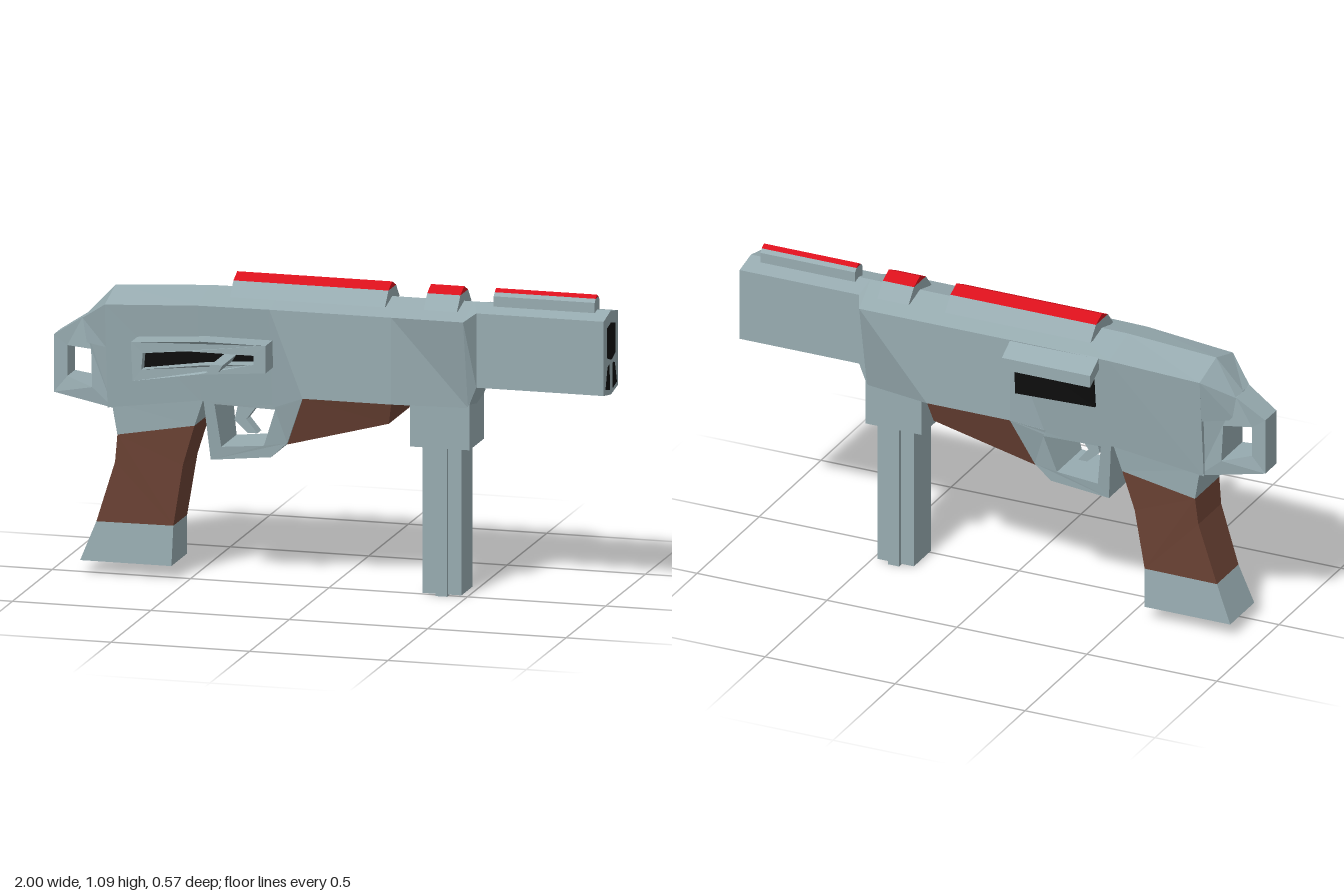
import * as THREE from 'three';

const mat = (color) => new THREE.MeshStandardMaterial({ color, flatShading: true });

export function createModel() {
  const steel = mat(0x97abb0), brown = mat(0x6b4234), red = mat(0xd9101c), black = mat(0x0d0d0d);
  const group = new THREE.Group();
  group.position.z = -0.065; // the body sits off centre because of the side handle

  const add = (name, geometry, material = steel) => {
    const mesh = new THREE.Mesh(geometry, material);
    mesh.name = name;
    group.add(mesh);
    return mesh;
  };

  const box = (name, x0, x1, y0, y1, z0, z1, material) =>
    add(name, new THREE.BoxGeometry(x1 - x0, y1 - y0, z1 - z0), material)
      .position.set((x0 + x1) / 2, (y0 + y1) / 2, (z0 + z1) / 2);

  // Side outline given as [x, y, far z, near z = -far], so thickness can vary per corner
  const prism = (name, points, material, hole) => {
    const path = (pts) => pts.map(([x, y]) => new THREE.Vector2(x, y));
    const shape = new THREE.Shape(path(points));
    if (hole) shape.holes.push(new THREE.Path(path(hole)));
    const key = (x, y) => x.toFixed(3) + ',' + y.toFixed(3);
    const depth = new Map([...points, ...(hole || [])]
      .map(([x, y, far, near = -far]) => [key(x, y), [near, far]]));
    const geometry = new THREE.ExtrudeGeometry(shape, { depth: 1, bevelEnabled: false });
    const p = geometry.attributes.position;
    for (let i = 0; i < p.count; i++) {
      p.setZ(i, depth.get(key(p.getX(i), p.getY(i)))[p.getZ(i) > 0.5 ? 1 : 0]);
    }
    geometry.computeVertexNormals();
    return add(name, geometry, material);
  };

  // Skin over convex rings of [y, z] at successive x, with closed ends
  const loft = (name, sections, material) => {
    const n = sections[0].ring.length, last = (sections.length - 1) * n;
    const pos = sections.flatMap(({ x, ring }) => ring.flatMap(([y, z]) => [x, y, z]));
    const index = [];
    for (let s = 0; s < last; s += n) {
      for (let j = 0; j < n; j++) {
        const k = (j + 1) % n;
        index.push(s + j, s + k, s + n + k, s + j, s + n + k, s + n + j);
      }
    }
    for (let j = 1; j < n - 1; j++) index.push(0, j + 1, j, last, last + j, last + j + 1);
    let geometry = new THREE.BufferGeometry();
    geometry.setAttribute('position', new THREE.Float32BufferAttribute(pos, 3));
    geometry.setIndex(index);
    geometry = geometry.toNonIndexed();
    geometry.computeVertexNormals();
    return add(name, geometry, material);
  };
  const bar = (name, x0, x1, ring, material) =>
    loft(name, [{ x: x0, ring }, { x: x1, ring }], material);

  // Body section: x, ridge y, shoulder y, shoulder half width, bottom y, bottom half width, keel
  const section = ([x, ridge, side, half, bottom, halfBottom, keel = 0]) => ({
    x,
    ring: [[ridge, 0], [side, half], [bottom, halfBottom], [bottom - keel, 0],
      [bottom, -halfBottom], [side, -half]],
  });

  loft('body', [
    [-0.79, 1.015, 0.975, 0.135, 0.60, 0.1],
    [-0.45, 1.037, 0.997, 0.153, 0.65, 0.115],
    [-0.19, 1.04, 1.0, 0.155, 0.64, 0.115],
    [-0.07, 1.04, 1.0, 0.155, 0.69, 0.155],
    [0.25, 1.04, 1.0, 0.155, 0.69, 0.155],
    [0.51, 1.04, 1.0, 0.155, 0.68, 0.092, 0.016],
    [0.54, 1.04, 1.02, 0.092, 0.755, 0.092, 0.015],
  ].map(section));
  loft('barrelShroud', [
    [0.54, 1.04, 1.02, 0.092, 0.755, 0.092, 0.015],
    [1.0, 1.04, 1.02, 0.092, 0.755, 0.092, 0.015],
  ].map(section));

  // Rear: sloped roof and open loop
  loft('rearSlope', [
    [-0.893, 0.907, 0.903, 0.055, 0.82, 0.06],
    [-0.79, 1.015, 0.975, 0.135, 0.82, 0.12],
  ].map(section));
  prism('rearLoop',
    [[-1, 0.835, 0.045], [-1, 0.63, 0.045], [-0.77, 0.6, 0.1], [-0.77, 0.95, 0.12],
      [-0.893, 0.905, 0.055]], steel,
    [[-0.95, 0.8, 0.048], [-0.855, 0.8, 0.08], [-0.85, 0.665, 0.085], [-0.95, 0.69, 0.048]]);

  // Pistol grip
  prism('gripTop', [[-0.775, 0.62, 0.1], [-0.755, 0.505, 0.098], [-0.476, 0.555, 0.1],
    [-0.44, 0.66, 0.105]]);
  prism('grip', [[-0.755, 0.505, 0.098], [-0.765, 0.406, 0.092], [-0.834, 0.188, 0.087],
    [-0.556, 0.19, 0.087], [-0.52, 0.41, 0.092], [-0.476, 0.555, 0.1]], brown);
  prism('gripBase', [[-0.834, 0.188, 0.087], [-0.89, 0.048, 0.097], [-0.56, 0.048, 0.097],
    [-0.556, 0.19, 0.087]]);

  // Trigger and guard
  prism('triggerGuard',
    [[-0.44, 0.66, 0.115], [-0.42, 0.435, 0.09], [-0.2, 0.46, 0.098], [-0.14, 0.515, 0.102],
      [-0.07, 0.69, 0.155], [-0.19, 0.66, 0.117]], steel,
    [[-0.4, 0.64, 0.113], [-0.18, 0.635, 0.115], [-0.225, 0.5, 0.1], [-0.38, 0.485, 0.096]]);
  prism('trigger', [[-0.335, 0.645, 0.025], [-0.353, 0.567, 0.025], [-0.305, 0.524, 0.025],
    [-0.27, 0.524, 0.025], [-0.31, 0.572, 0.025], [-0.255, 0.645, 0.025]]);

  // Fore grip
  prism('foreGrip', [[-0.07, 0.69, 0.153], [-0.14, 0.51, 0.1], [0.235, 0.615, 0.13],
    [0.25, 0.69, 0.153]], brown);

  // Magazine with a raised rib on each side
  box('magazineHousing', 0.3, 0.515, 0.53, 0.7, -0.093, 0.093);
  box('magazine', 0.34, 0.48, 0.005, 0.54, -0.07, 0.07);
  box('magazineRib', 0.39, 0.432, 0, 0.54, -0.084, 0.084);

  // Top rails: grey shoulders with a red crest
  for (const [x0, x1] of [[-0.35, 0.21], [0.35, 0.47]]) {
    bar('railBase', x0, x1, [[1.07, 0.048], [1.02, 0.092], [1.02, -0.092], [1.07, -0.048]]);
    bar('railCrest', x0, x1, [[1.092, 0], [1.07, 0.048], [1.07, -0.048]], red);
  }
  bar('sightBase', 0.585, 0.95, [[1.082, 0.018], [1.07, 0.03], [1.02, 0.03],
    [1.02, -0.03], [1.07, -0.03], [1.082, -0.018]]);
  bar('sightCrest', 0.585, 0.95, [[1.093, 0], [1.082, 0.018], [1.082, -0.018]], red);

  // Muzzle openings
  bar('muzzleOpening', 0.98, 1.002, [[0.997, 0], [0.986, 0.05], [0.88, 0.05],
    [0.864, 0], [0.88, -0.05], [0.986, -0.05]], black);
  const vent = [[0.852, 0.023], [0.846, 0.043], [0.771, 0.069], [0.76, 0.02]];
  bar('muzzleVent', 0.98, 1.002, vent, black);
  bar('muzzleVent', 0.98, 1.002, vent.map(([y, z]) => [y, -z]).reverse(), black);

  // Handle housing, slot and handle on the +z side
  prism('handleHousing',
    [[-0.674, 0.866, 0.21, 0.1], [-0.668, 0.727, 0.21, 0.1], [-0.43, 0.77, 0.23, 0.1],
      [-0.182, 0.79, 0.23, 0.1], [-0.182, 0.888, 0.23, 0.1], [-0.417, 0.888, 0.23, 0.1]], steel,
    [[-0.631, 0.829, 0.211, 0.1], [-0.47, 0.85, 0.228, 0.1], [-0.225, 0.85, 0.23, 0.1],
      [-0.225, 0.818, 0.23, 0.1], [-0.4, 0.805, 0.23, 0.1], [-0.636, 0.77, 0.211, 0.1]]);
  prism('handleSlot', [[-0.65, 0.75, 0.175, 0.12], [-0.2, 0.8, 0.175, 0.12],
    [-0.2, 0.87, 0.175, 0.12], [-0.65, 0.85, 0.175, 0.12]], black);
  prism('handle', [[-0.362, 0.81, 0.35, 0.12], [-0.32, 0.81, 0.35, 0.12],
    [-0.302, 0.838, 0.35, 0.12], [-0.345, 0.838, 0.35, 0.12]]);

  // Port and its cover on the -z side
  prism('port', [[-0.39, 0.8, -0.1, -0.139], [-0.09, 0.8, -0.1, -0.157],
    [-0.09, 0.97, -0.1, -0.16], [-0.39, 0.97, -0.1, -0.157]], black);
  bar('portCover', -0.41, -0.07, [[1.0, -0.15], [0.955, -0.15], [0.915, -0.22], [0.96, -0.22]]);

  return group;
}
